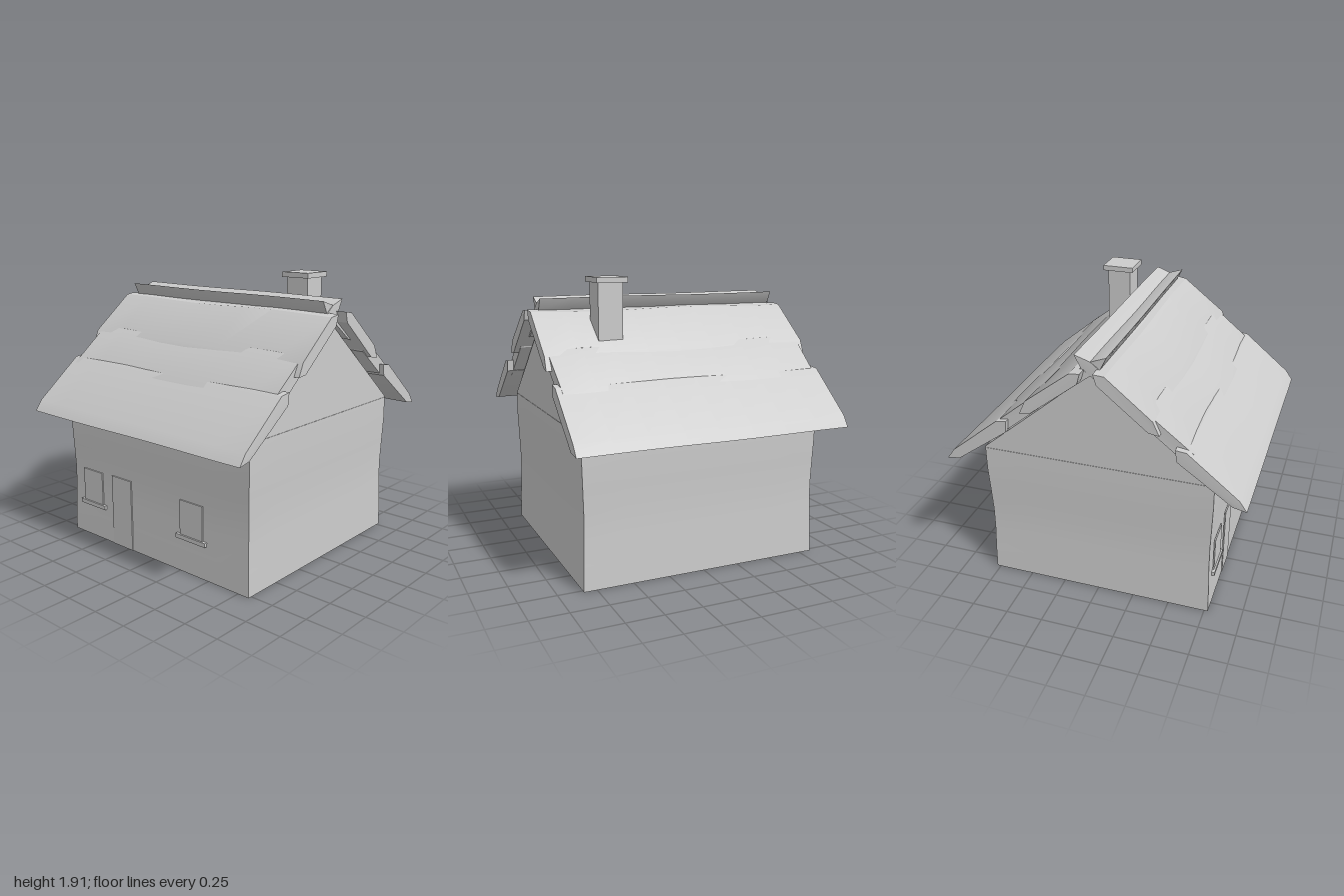
import * as THREE from 'three';
import { toCreasedNormals } from 'three/addons/utils/BufferGeometryUtils.js';

const stone = new THREE.MeshStandardMaterial({ color: 0xcccccc });
stone.name = 'pale grey';

// Move every vertex by a rule, keeping hard edges sharp
function warp(geometry, rule) {
  const p = geometry.attributes.position;
  const v = new THREE.Vector3();
  for (let i = 0; i < p.count; i++) {
    v.fromBufferAttribute(p, i);
    rule(v);
    p.setXYZ(i, v.x, v.y, v.z);
  }
  return toCreasedNormals(geometry, 0.5);
}

// Extrude a (z, y) outline along x, centred on x = 0
function alongX(points, halfWidth, steps = 1) {
  const shape = new THREE.Shape(points.map(([z, y]) => new THREE.Vector2(z, y)));
  const g = new THREE.ExtrudeGeometry(shape, { depth: halfWidth * 2, steps, bevelEnabled: false });
  g.translate(0, 0, -halfWidth);
  g.rotateY(-Math.PI / 2);
  return g;
}

export function createModel() {
  const house = new THREE.Group();
  house.name = 'cottage';

  const add = (name, geometry, parent = house) => {
    const mesh = new THREE.Mesh(geometry, stone);
    mesh.name = name;
    parent.add(mesh);
    return mesh;
  };
  // Box from its minimum and maximum corners
  const block = (name, x0, x1, y0, y1, z0, z1, parent) => {
    const m = add(name, new THREE.BoxGeometry(x1 - x0, y1 - y0, z1 - z0), parent);
    m.position.set((x0 + x1) / 2, (y0 + y1) / 2, (z0 + z1) / 2);
  };

  // Slightly uneven walls
  const walls = new THREE.BoxGeometry(1.66, 0.99, 1.54, 6, 6, 6).translate(0, 0.495, 0);
  add('walls', warp(walls, (v) => {
    const bow = 0.006 * Math.cos(v.y * 7);
    v.x += Math.sign(v.x) * bow * Math.abs(v.x) / 0.83;
    v.z += Math.sign(v.z) * bow * Math.abs(v.z) / 0.77;
  }));

  // Triangular gable block under the roof
  add('gable', toCreasedNormals(alongX([[-0.775, 0.985], [0.775, 0.985], [0.775, 1], [0, 1.65], [-0.775, 1]], 0.832), 0.3));

  // Overlapping roof courses with pointed edges, mirrored front to back
  const courses = [
    ['eaveCourse', 0.945, [[1, 0.93], [0.95, 1], [0.62, 1.27], [0.55, 1.28], [0.56, 1.2], [0.91, 0.945]]],
    ['middleCourse', 0.91, [[0.7, 1.155], [0.66, 1.235], [0.37, 1.465], [0.3, 1.47], [0.32, 1.4], [0.62, 1.16]]],
    ['upperCourse', 0.94, [[0.45, 1.35], [0.41, 1.44], [0.11, 1.68], [0.04, 1.69], [0.06, 1.62], [0.38, 1.36]]],
    ['ridgeCourse', 0.87, [[-0.1, 1.77], [0, 1.735], [0.25, 1.54], [0.28, 1.47], [0.2, 1.49], [-0.06, 1.69]]],
  ];
  for (const [sideName, side] of [['front', 1], ['back', -1]]) {
    const roof = new THREE.Group();
    roof.name = sideName + 'Roof';
    house.add(roof);
    courses.forEach(([name, halfWidth, outline], row) => {
      const g = alongX(outline.map(([z, y]) => [z * side, y]), halfWidth, 8);
      const amount = row % 3 === 0 ? 0.002 : 0.006;
      add(name, warp(g, (v) => {
        v.y += amount * Math.sin(v.x * 5 + row * 2 + side + v.z * 6);
        v.x += Math.sign(v.x) * 0.005 * Math.sin(v.z * 14 + row);
      }), roof);
    });
  }

  // Chimney on the back slope
  const chimney = new THREE.Group();
  chimney.name = 'chimney';
  house.add(chimney);
  block('chimneyStack', 0.385, 0.555, 1.3, 1.88, -0.33, -0.165, chimney);
  block('chimneyCap', 0.36, 0.575, 1.875, 1.91, -0.36, -0.14, chimney);

  // Door and windows on the front wall
  block('door', -0.41, -0.215, 0, 0.51, 0.771, 0.78);
  for (const [name, x] of [['rightWindow', -0.617], ['leftWindow', 0.352]]) {
    const win = new THREE.Group();
    win.name = name;
    house.add(win);
    block('pane', x - 0.1, x + 0.1, 0.26, 0.5, 0.77, 0.779, win);
    block('sill', x - 0.13, x + 0.13, 0.233, 0.262, 0.755, 0.79, win);
  }
  return house;
}
